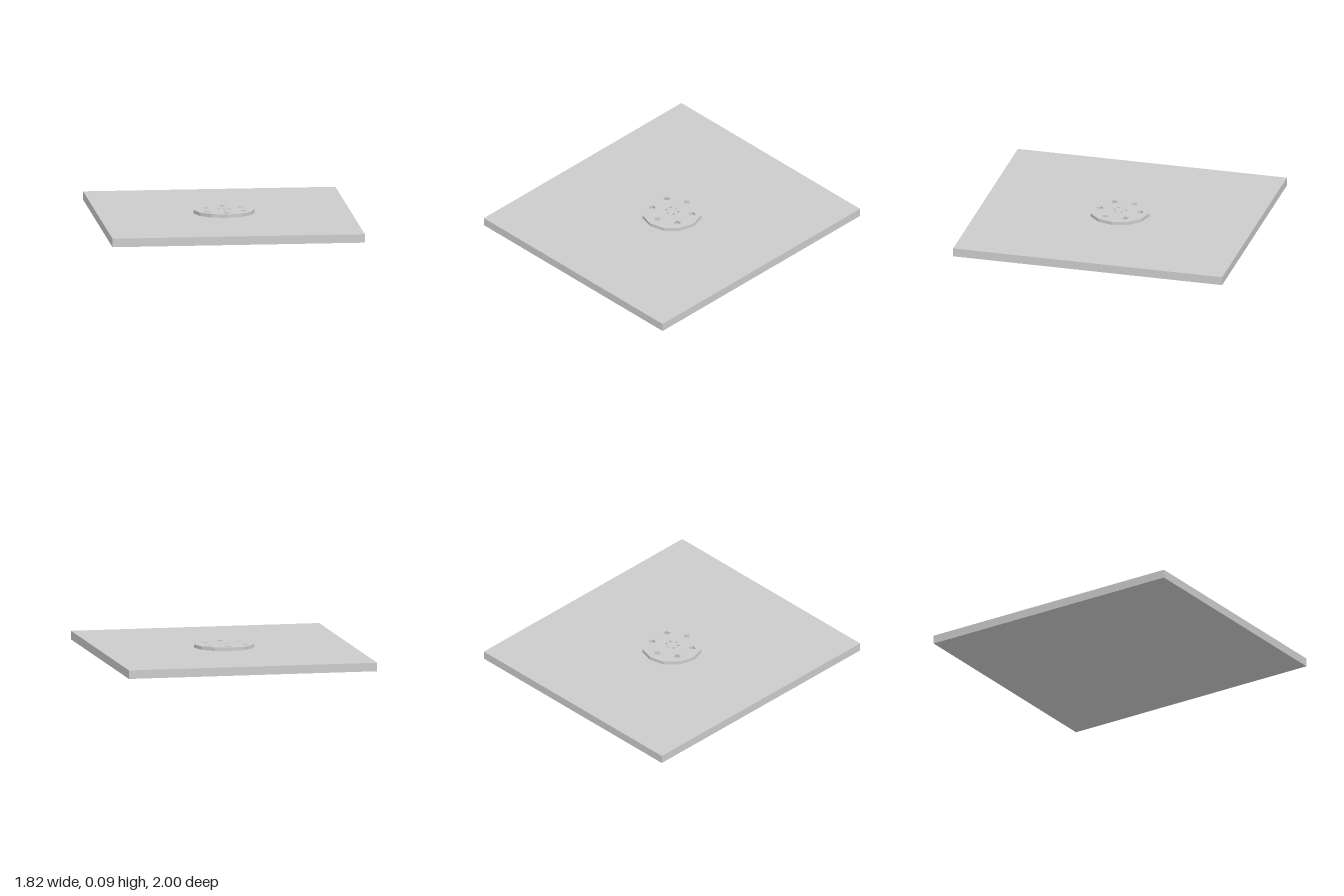
import * as THREE from 'three';

// Points of a regular polygon with its first corner at the given angle
function polygon(cx, cy, radius, sides, startAngle = 0) {
  return Array.from({ length: sides }, (_, i) => {
    const a = startAngle + (i / sides) * Math.PI * 2;
    return new THREE.Vector2(cx + radius * Math.cos(a), cy + radius * Math.sin(a));
  });
}

// Ring of six four-sided holes, each with a corner pointing outward
function addHoleRing(shape, ringRadius, holeRadius) {
  for (let i = 0; i < 6; i++) {
    const a = Math.PI / 6 + (i * Math.PI) / 3;
    const points = polygon(ringRadius * Math.cos(a), ringRadius * Math.sin(a), holeRadius, 4, a);
    shape.holes.push(new THREE.Path(points));
  }
}

export function createModel() {
  const group = new THREE.Group();
  const material = new THREE.MeshStandardMaterial({ color: 0xcccccc, flatShading: true });
  const plateHeight = 0.062;
  const discHeight = 0.025;

  // Flat rectangular base
  const plate = new THREE.Mesh(new THREE.BoxGeometry(1.824, plateHeight, 2), material);
  plate.name = 'basePlate';
  plate.position.y = plateHeight / 2;
  group.add(plate);

  // Twelve-sided disc with an outer and an inner ring of holes
  const shape = new THREE.Shape(polygon(0, 0, 0.22, 12));
  addHoleRing(shape, 0.15, 0.028);
  addHoleRing(shape, 0.043, 0.012);
  const discGeometry = new THREE.ExtrudeGeometry(shape, { depth: discHeight, bevelEnabled: false });
  discGeometry.rotateX(-Math.PI / 2);
  const disc = new THREE.Mesh(discGeometry, material);
  disc.name = 'perforatedDisc';
  disc.position.y = plateHeight;
  group.add(disc);

  return group;
}
